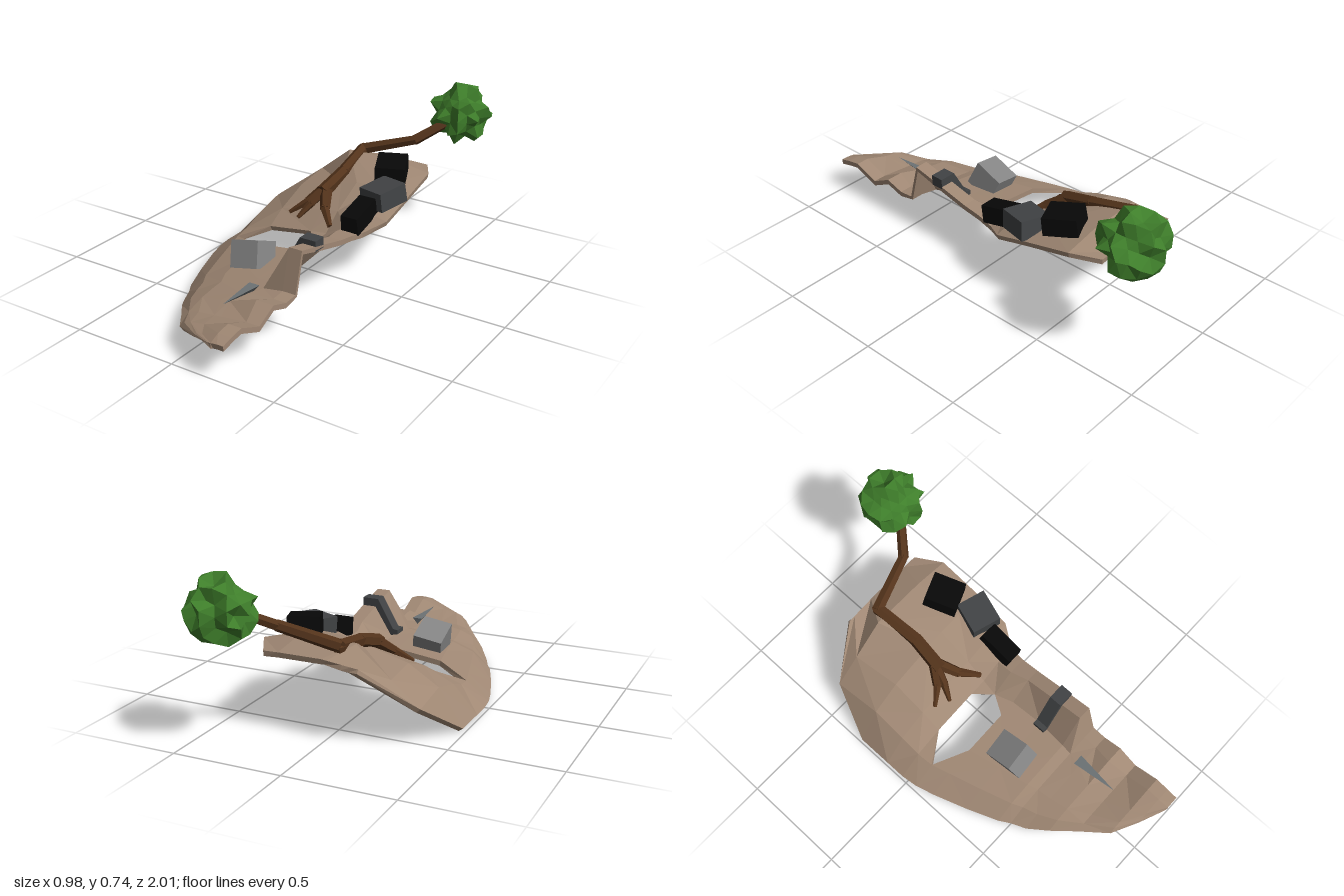
import * as THREE from 'three';

const paint = (name, color) => {
  const m = new THREE.MeshStandardMaterial({ color });
  m.name = name;
  return m;
};

export function createModel() {
  const stone = paint('tan stone', 0xa08874);
  const bark = paint('brown bark', 0x53331b);
  const leaf = paint('leaf green', 0x3f7f2b);
  const black = paint('black rock', 0x080808);
  const slate = paint('dark grey', 0x414345);
  const grey = paint('light grey', 0x858585);
  const shardGrey = paint('shard grey', 0x6c7274);

  const model = new THREE.Group();
  model.name = 'brokenMask';
  const add = (name, geo, mat, parent = model) => {
    const flat = geo.index ? geo.toNonIndexed() : geo;
    flat.computeVertexNormals();
    const mesh = new THREE.Mesh(flat, mat);
    mesh.name = name;
    parent.add(mesh);
    return mesh;
  };

  // Mask shell: cross-sections from forehead to chin
  // z, outer x, cheek x, ridge x, broken edge x, outer y, cheek y, ridge y
  const sections = [
    [-0.655, -0.17, 0.0, 0.2, 0.27, 0.35, 0.37, 0.37],
    [-0.53, -0.39, -0.1, 0.17, 0.34, 0.17, 0.41, 0.41],
    [-0.3, -0.49, 0.08, 0.2, 0.345, 0.015, 0.355, 0.36],
    [-0.13, -0.49, 0.08, 0.2, 0.34, 0.015, 0.27, 0.31],
    [-0.03, -0.49, 0.08, 0.18, 0.275, 0.015, 0.195, 0.25],
    [0.05, -0.48, 0.07, 0.18, 0.265, 0.015, 0.175, 0.26],
    [0.14, -0.455, 0.1, 0.2, 0.265, 0.015, 0.175, 0.275],
    [0.3, -0.4, 0.11, 0.2, 0.265, 0.015, 0.17, 0.315],
    [0.45, -0.34, 0.1, 0.2, 0.265, 0.015, 0.165, 0.35],
    [0.5, -0.31, 0.1, 0.2, 0.265, 0.015, 0.15, 0.165],
    [0.57, -0.28, 0.08, 0.2, 0.265, 0.015, 0.15, 0.16],
    [0.66, -0.22, 0.04, 0.18, 0.265, 0.045, 0.145, 0.19],
    [0.76, -0.14, 0.07, 0.2, 0.265, 0.072, 0.125, 0.14],
    [0.88, -0.05, 0.08, 0.2, 0.265, 0.1, 0.15, 0.19],
    [0.945, 0.07, 0.12, 0.2, 0.265, 0.125, 0.15, 0.18],
    [1.0, 0.19, 0.205, 0.235, 0.265, 0.16, 0.163, 0.167],
  ];
  const across = [0, 0.2, 0.45, 0.85, 1];
  const rounded = [0, 0.5, 0.76, 0.94, 1];
  const lerp = THREE.MathUtils.lerp;
  const points = [];
  sections.forEach(([z, xo, xc, xr, xi, yo, yc, yr], i) => {
    const rise = i < 2 ? across : rounded; // the forehead slopes straight
    across.forEach((f, j) => points.push(lerp(xo, xc, f), lerp(yo, yc, rise[j]), z));
    points.push(xr, yr, z, xi, yr - (xi - 0.265) * 0.4, z);
  });
  const cols = 7, eyeRow = 4;
  const top = [];
  for (let i = 0; i < sections.length - 1; i++) {
    for (let j = 0; j < cols - 1; j++) {
      const a = i * cols + j, b = a + cols, c = b + 1, d = a + 1;
      // Eye hole: the corner cells keep one triangle, the middle is left open
      const eye = i === eyeRow || i === eyeRow + 1;
      if (eye && j === 2) continue;
      if (eye && j === 1) top.push(...(i === eyeRow ? [a, b, d] : [a, b, c]));
      else if (eye && j === 3) top.push(...(i === eyeRow ? [a, c, d] : [b, c, d]));
      else if ((i + j) % 2) top.push(a, b, c, a, c, d);
      else top.push(a, b, d, b, c, d);
    }
  }
  const skin = new THREE.BufferGeometry();
  skin.setAttribute('position', new THREE.Float32BufferAttribute(points, 3));
  skin.setIndex(top);
  skin.computeVertexNormals();

  // Inner surface is offset along the normals; walls close every open edge
  const n = points.length / 3, normal = skin.attributes.normal, thick = 0.025;
  const all = [...points];
  for (let k = 0; k < n; k++) {
    all.push(points[3 * k] - normal.getX(k) * thick,
      Math.max(0, points[3 * k + 1] - normal.getY(k) * thick),
      points[3 * k + 2] - normal.getZ(k) * thick * 0.5);
  }
  const faces = [...top], edges = new Set();
  const eachEdge = (fn) => {
    for (let t = 0; t < top.length; t += 3)
      for (let e = 0; e < 3; e++) fn(top[t + e], top[t + (e + 1) % 3]);
  };
  eachEdge((a, b) => edges.add(a + '_' + b));
  eachEdge((a, b) => {
    if (!edges.has(b + '_' + a)) faces.push(b, a, a + n, b, a + n, b + n);
  });
  for (let t = 0; t < top.length; t += 3) faces.push(top[t] + n, top[t + 2] + n, top[t + 1] + n);
  const shell = new THREE.BufferGeometry();
  shell.setAttribute('position', new THREE.Float32BufferAttribute(all, 3));
  shell.setIndex(faces);
  add('maskShell', shell, stone);

  // Tree: tapered limbs through points [x, y, z, radius]
  const tree = new THREE.Group();
  tree.name = 'tree';
  model.add(tree);
  const up = new THREE.Vector3(0, 1, 0);
  const limb = (name, path) => {
    for (let i = 0; i < path.length - 1; i++) {
      const p = new THREE.Vector3(...path[i]), q = new THREE.Vector3(...path[i + 1]);
      const dir = q.clone().sub(p), len = dir.length();
      const geo = new THREE.CylinderGeometry(path[i + 1][3], path[i][3], len + 0.012, 6);
      const mesh = add(name, geo, bark, tree);
      mesh.position.copy(p).add(q).multiplyScalar(0.5);
      mesh.quaternion.setFromUnitVectors(up, dir.normalize());
    }
  };
  limb('trunk', [[-0.045, 0.315, -0.2, 0.034], [-0.03, 0.365, -0.36, 0.032],
    [-0.05, 0.41, -0.58, 0.03], [0.2, 0.485, -0.65, 0.025], [0.33, 0.575, -0.79, 0.022]]);
  limb('trunkStub', [[-0.05, 0.41, -0.58, 0.028], [-0.04, 0.345, -0.57, 0.026]]);
  limb('root', [[-0.05, 0.32, -0.22, 0.03], [-0.1, 0.268, -0.16, 0.022], [-0.17, 0.215, -0.11, 0.01]]);
  limb('root', [[-0.05, 0.32, -0.22, 0.028], [-0.075, 0.268, -0.14, 0.02], [-0.105, 0.215, -0.08, 0.009]]);
  limb('root', [[-0.04, 0.32, -0.22, 0.03], [0.01, 0.268, -0.13, 0.024], [0.08, 0.222, -0.06, 0.013]]);

  // Foliage: a sphere with uneven spikes
  const crown = new THREE.IcosahedronGeometry(1, 2);
  const pos = crown.attributes.position, v = new THREE.Vector3();
  for (let i = 0; i < pos.count; i++) {
    v.fromBufferAttribute(pos, i).normalize();
    const h = Math.sin(Math.round(v.x * 100) * 12.9 + Math.round(v.y * 100) * 78.2 + Math.round(v.z * 100) * 37.7) * 437.5;
    const f = h - Math.floor(h);
    v.multiplyScalar((f < 0.5 ? 0.112 : 0.145) + 0.014 * f);
    pos.setXYZ(i, v.x, v.y, v.z);
  }
  add('foliage', crown, leaf, tree).position.set(0.34, 0.593, -0.85);

  // Rocks: boxes with an optionally narrowed top
  const rock = (name, mat, size, at, turn, taper = 0.92) => {
    const geo = new THREE.BoxGeometry(...size);
    const p = geo.attributes.position;
    for (let i = 0; i < p.count; i++)
      if (p.getY(i) > 0) p.setXYZ(i, p.getX(i) * taper, p.getY(i), p.getZ(i) * taper);
    const mesh = add(name, geo, mat);
    mesh.position.set(...at);
    mesh.rotation.set(...turn, 'YXZ');
  };
  rock('upperRock', black, [0.145, 0.085, 0.16], [0.21, 0.42, -0.4], [0.14, 0.4, 0], 0.97);
  rock('middleRock', slate, [0.145, 0.09, 0.16], [0.262, 0.362, -0.232], [0.12, -0.3, 0.05], 0.97);
  rock('lowerRock', black, [0.09, 0.085, 0.185], [0.232, 0.312, -0.067], [0.25, 0, 0]);
  rock('cheekBlock', grey, [0.14, 0.125, 0.15], [-0.093, 0.178, 0.305], [-0.4, 0, 0.2], 1);

  // Band bent over the nose
  const band = new THREE.Shape([[0.08, 0.185], [0.12, 0.175], [0.205, 0.3], [0.265, 0.3],
    [0.265, 0.35], [0.185, 0.35], [0.105, 0.208], [0.08, 0.205]].map((p) => new THREE.Vector2(...p)));
  add('noseBand', new THREE.ExtrudeGeometry(band, { depth: 0.062, bevelEnabled: false }), slate)
    .position.z = 0.284;

  // Pointed shard beside the lips
  const shard = new THREE.ConeGeometry(0.03, 0.22, 3);
  shard.rotateX(Math.PI / 2);
  shard.scale(1, 0.7, 1);
  const shardMesh = add('lipShard', shard, shardGrey);
  shardMesh.position.set(0.09, 0.186, 0.66);
  shardMesh.rotation.x = -0.06;

  return model;
}
